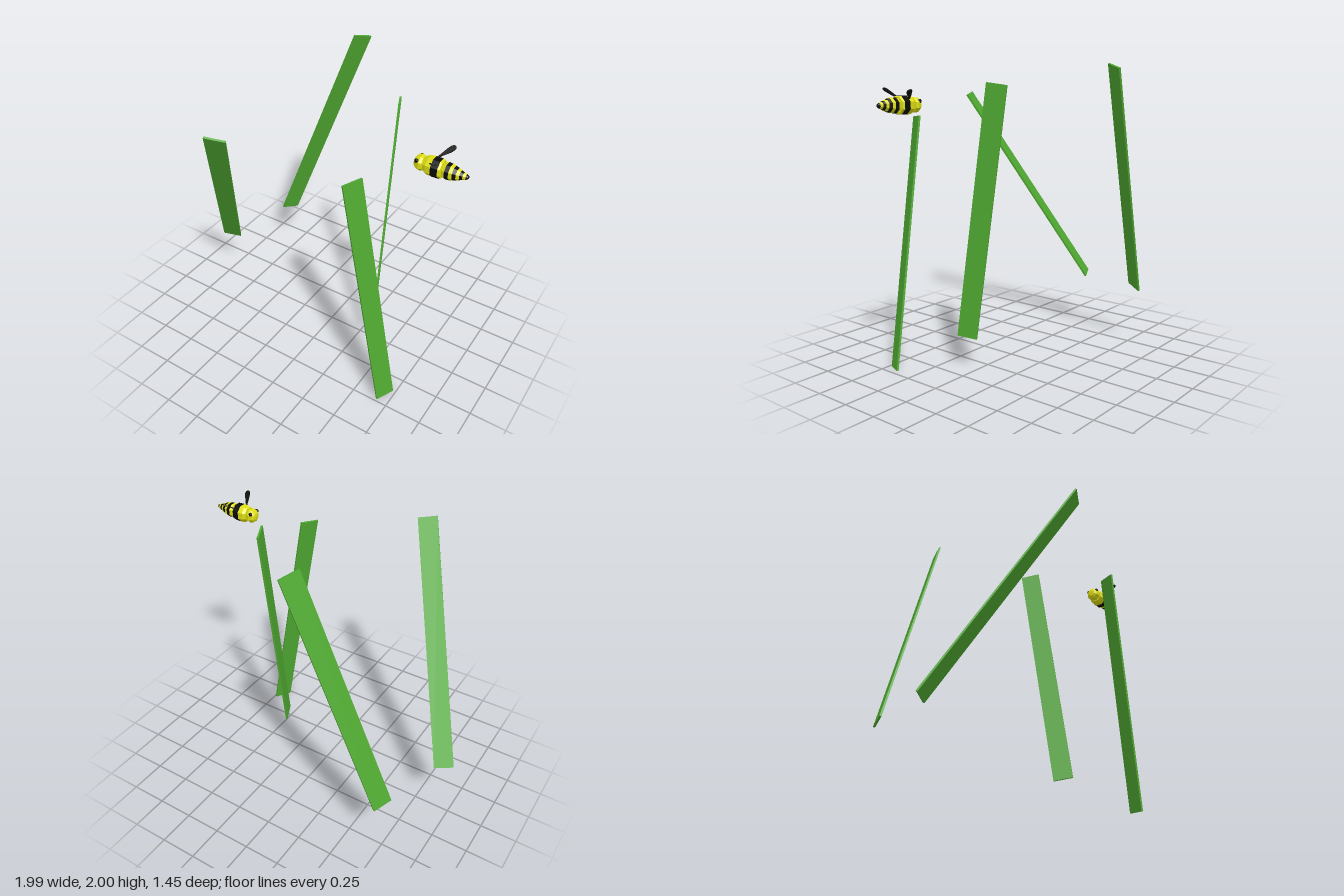
import * as THREE from 'three';

const GREEN = 0x50aa32, YELLOW = 0xdede14, BLACK = 0x0a0a0a;
const mat = (color) => new THREE.MeshStandardMaterial({ color, flatShading: true });
const vec = (a) => new THREE.Vector3(...a);

// Thin slab from the two bottom corners and one top corner (above the first)
function makeBlade(b1, b2, t1, material) {
  const [p, q, t] = [vec(b1), vec(b2), vec(t1)];
  const up = t.clone().sub(p), side = q.clone().sub(p);
  const length = up.length(), width = side.length();
  up.normalize();
  side.addScaledVector(up, -side.dot(up)).normalize();
  const normal = side.clone().cross(up);
  const mesh = new THREE.Mesh(new THREE.BoxGeometry(width, length, 0.013), material);
  mesh.quaternion.setFromRotationMatrix(new THREE.Matrix4().makeBasis(side, up, normal));
  mesh.position.copy(t).add(q).multiplyScalar(0.5);
  mesh.name = 'grassBlade';
  return mesh;
}

// Striped body section along x: profile rows are [x, radius], one colour per band
function makeSection(name, profile, colors) {
  const group = new THREE.Group();
  group.name = name;
  colors.forEach((color, i) => {
    const points = profile.slice(i, i + 2).map(([x, r]) => new THREE.Vector2(r, x));
    const geo = new THREE.LatheGeometry(points, 8, Math.PI / 8).rotateZ(-Math.PI / 2);
    const band = new THREE.Mesh(geo, mat(color));
    band.name = name + 'Band';
    group.add(band);
  });
  return group;
}

// Flat wing with a narrow stem widening towards a rounded tip
function makeWing(base, tip) {
  const a = vec(base), b = vec(tip), length = a.distanceTo(b);
  const shape = new THREE.Shape();
  shape.moveTo(-0.004, 0);
  shape.bezierCurveTo(-0.008, length * 0.4, -0.034, length, 0, length);
  shape.bezierCurveTo(0.034, length, 0.008, length * 0.4, 0.004, 0);
  const geo = new THREE.ExtrudeGeometry(shape, { depth: 0.006, bevelEnabled: false, curveSegments: 6 });
  geo.translate(0, 0, -0.003);
  const up = b.clone().sub(a).normalize();
  const side = new THREE.Vector3(1, 0, 0).addScaledVector(up, -up.x).normalize();
  const wing = new THREE.Mesh(geo, mat(BLACK));
  wing.quaternion.setFromRotationMatrix(
    new THREE.Matrix4().makeBasis(side, up, side.clone().cross(up)));
  wing.position.copy(a);
  wing.name = 'wing';
  return wing;
}

function makeBee() {
  const bee = new THREE.Group();
  bee.name = 'bee';
  const Y = YELLOW, K = BLACK;
  // Head, thorax and tapering abdomen
  bee.add(
    makeSection('head',
      [[-0.165, 0], [-0.162, 0.026], [-0.15, 0.042], [-0.125, 0.05], [-0.108, 0.044], [-0.1, 0]],
      [Y, Y, Y, Y, Y]),
    makeSection('thorax',
      [[-0.1, 0], [-0.1, 0.046], [-0.08, 0.057], [-0.048, 0.06], [-0.005, 0.059], [0.008, 0.053], [0.014, 0]],
      [Y, Y, Y, K, Y, Y]),
    makeSection('abdomen',
      [[0.012, 0], [0.014, 0.044], [0.032, 0.05], [0.056, 0.048], [0.076, 0.043], [0.096, 0.036],
        [0.114, 0.029], [0.13, 0.022], [0.146, 0.016], [0.158, 0.01], [0.163, 0]],
      [Y, Y, K, Y, K, Y, K, Y, K, K]));
  // Eyes
  for (const s of [-1, 1]) {
    const eye = new THREE.Mesh(new THREE.SphereGeometry(0.013, 8, 6), mat(K));
    eye.scale.set(1.1, 1.1, 0.8);
    eye.position.set(-0.14, 0.022, 0.035 * s);
    eye.name = 'eye';
    bee.add(eye);
  }
  // Wings, swept back and raised
  bee.add(makeWing([-0.048, 0.038, 0.045], [0, 0.1, 0.13]));
  bee.add(makeWing([-0.048, 0.038, -0.045], [0.02, 0.09, -0.12]));
  bee.position.set(0.835, 1.745, 0.178);
  return bee;
}

export function createModel() {
  const model = new THREE.Group();
  model.name = 'beeAndGrass';
  const green = mat(GREEN);
  // Leaning grass blades: bottom corner, bottom corner, top corner above the first
  const blades = [
    [[-0.995, 0.41, 0.015], [-0.877, 0.392, -0.04], [-0.41, 1.81, 0.715]],
    [[-0.785, 0.435, -0.48], [-0.725, 0.405, -0.595], [-0.215, 1.995, -0.61]],
    [[0.415, 0.23, 0.12], [0.36, 0.21, 0], [0.395, 1.88, -0.125]],
    [[0.67, 0.002, 0.483], [0.73, 0.015, 0.368], [0.395, 1.655, 0.508]],
  ];
  for (const [b1, b2, t1] of blades) model.add(makeBlade(b1, b2, t1, green));
  model.add(makeBee());
  return model;
}
